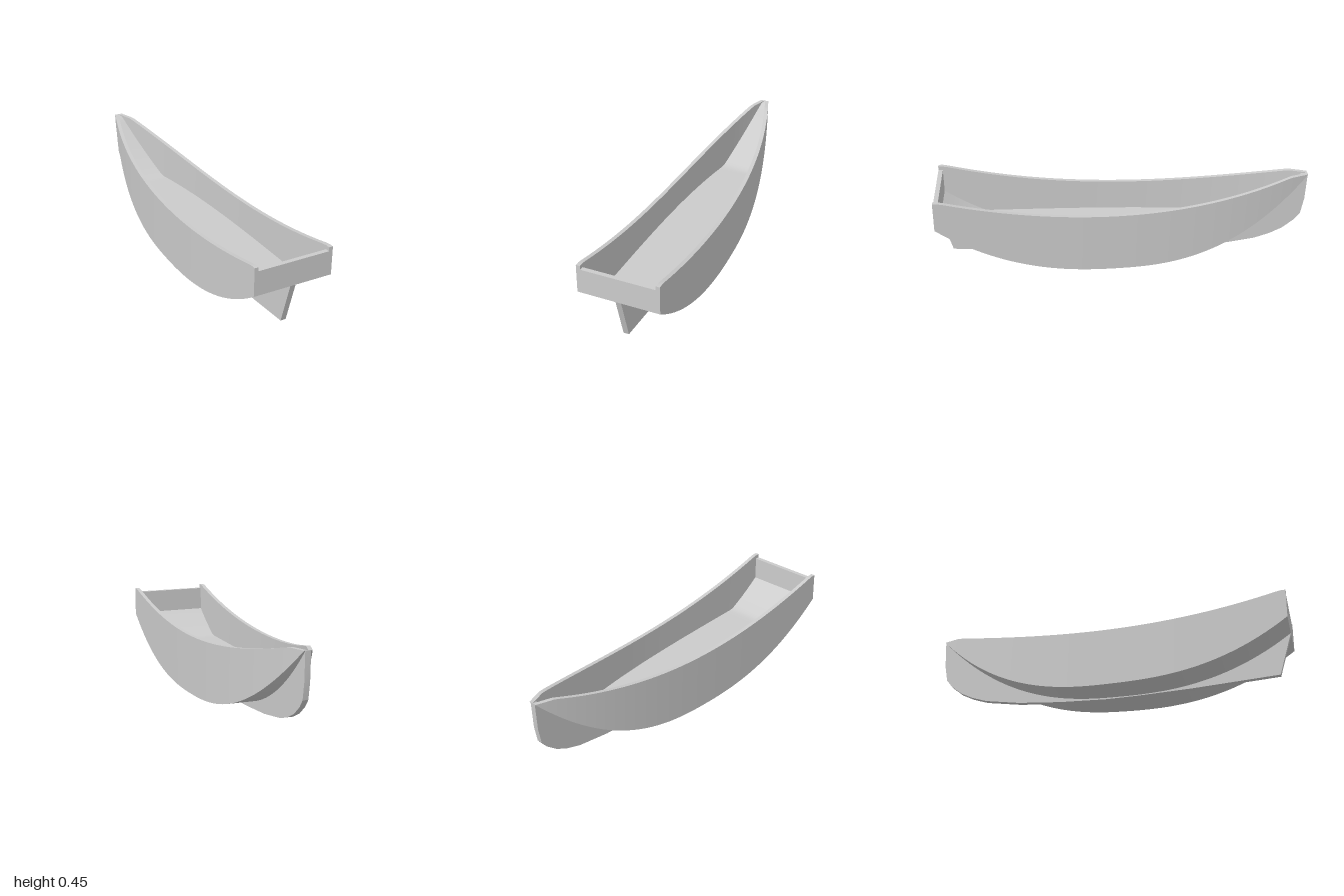
import * as THREE from 'three';
import { toCreasedNormals } from 'three/addons/utils/BufferGeometryUtils.js';

const LENGTH = 2.006, STERN_Z = 0.949, CENTRE_X = 0.078;
const RIM = 0.022, FLOOR_Y = 0.17, LOW = 0.97;

// Hull lines as functions of s, the distance from the stern
const halfWidth = (s) => {
  const t = s / LENGTH;
  return 0.2225 - 0.2 * (0.9 * t ** 4 + 0.1 * t);
};
const sheer = (s) => Math.min(0.452, 0.335 + 0.12 * ((s - LOW) / 0.95) ** 2);
const bottom = (s) => s < LOW
  ? 0.01 + 0.283 * ((LOW - s) / LOW) ** 2.5
  : 0.01 + 0.44 * ((s - LOW) / (LENGTH - LOW)) ** 2.5;
const floor = (s) => Math.min(sheer(s), Math.max(FLOOR_Y, bottom(s) + 0.025));

// U-shaped cross-section, counterclockwise from the stern
function section(s, innerY) {
  const w = halfWidth(s), i = Math.max(w - RIM, 0.001);
  const b = bottom(s), t = sheer(s), z = STERN_Z - s;
  return [[-w, b], [w, b], [w, t], [i, t], [i, innerY], [-i, innerY], [-i, t], [-w, t]]
    .map(([x, y]) => [x, y, z]);
}

function hullGeometry() {
  const wall = 0.024, steps = 64;
  // The transom is a thick section with a raised inside
  const rings = [section(0, 0.43), section(wall, 0.43)];
  for (let k = 0; k <= steps; k++) {
    const s = wall + (LENGTH - wall) * k / steps;
    rings.push(section(s, floor(s)));
  }
  const pos = [];
  const quad = (a, b, c, d) => pos.push(...a, ...b, ...c, ...a, ...c, ...d);
  for (let r = 0; r < rings.length - 1; r++) {
    for (let j = 0; j < 8; j++) {
      const n = (j + 1) % 8;
      quad(rings[r][j], rings[r + 1][j], rings[r + 1][n], rings[r][n]);
    }
  }
  // End caps
  const first = rings[0], last = rings[rings.length - 1];
  for (const [a, b, c, d] of [[0, 1, 4, 5], [1, 2, 3, 4], [0, 5, 6, 7]]) {
    quad(first[a], first[b], first[c], first[d]);
    quad(last[d], last[c], last[b], last[a]);
  }
  const geo = new THREE.BufferGeometry();
  geo.setAttribute('position', new THREE.Float32BufferAttribute(pos, 3));
  return toCreasedNormals(geo, Math.PI / 6);
}

// Thin plate along the centreline: raked skeg, keel and rounded stem
function keelGeometry() {
  const thick = 0.03;
  const lower = [[0, 0.293], [0.07, 0.053], [0.55, 0.02], [0.85, 0.006], [1.04, 0.002], [1.3, 0.01],
    [1.54, 0.028], [1.736, 0.058], [1.82, 0.085], [1.89, 0.119], [1.953, 0.17], [1.984, 0.21],
    [2.0, 0.3], [LENGTH, 0.45]];
  const upper = [];
  for (let s = 1.96; s > 0.03; s -= 0.05) upper.push([s, bottom(s) + 0.01]);
  const shape = new THREE.Shape([...lower, ...upper].map(([s, y]) => new THREE.Vector2(STERN_Z - s, y)));
  const geo = new THREE.ExtrudeGeometry(shape, { depth: thick, bevelEnabled: false });
  geo.rotateY(-Math.PI / 2).translate(thick / 2, 0, 0);
  return toCreasedNormals(geo, Math.PI / 9);
}

export function createModel() {
  const model = new THREE.Group();
  model.name = 'boat';
  const material = new THREE.MeshStandardMaterial({ color: 0xcccccc });

  // The boat lies turned about the vertical
  const body = new THREE.Group();
  body.name = 'turnedBoat';
  body.rotation.y = -THREE.MathUtils.degToRad(15);
  model.add(body);

  for (const [name, geo] of [['hull', hullGeometry()], ['keel', keelGeometry()]]) {
    const mesh = new THREE.Mesh(geo, material);
    mesh.name = name;
    mesh.position.x = CENTRE_X;
    body.add(mesh);
  }
  return model;
}
